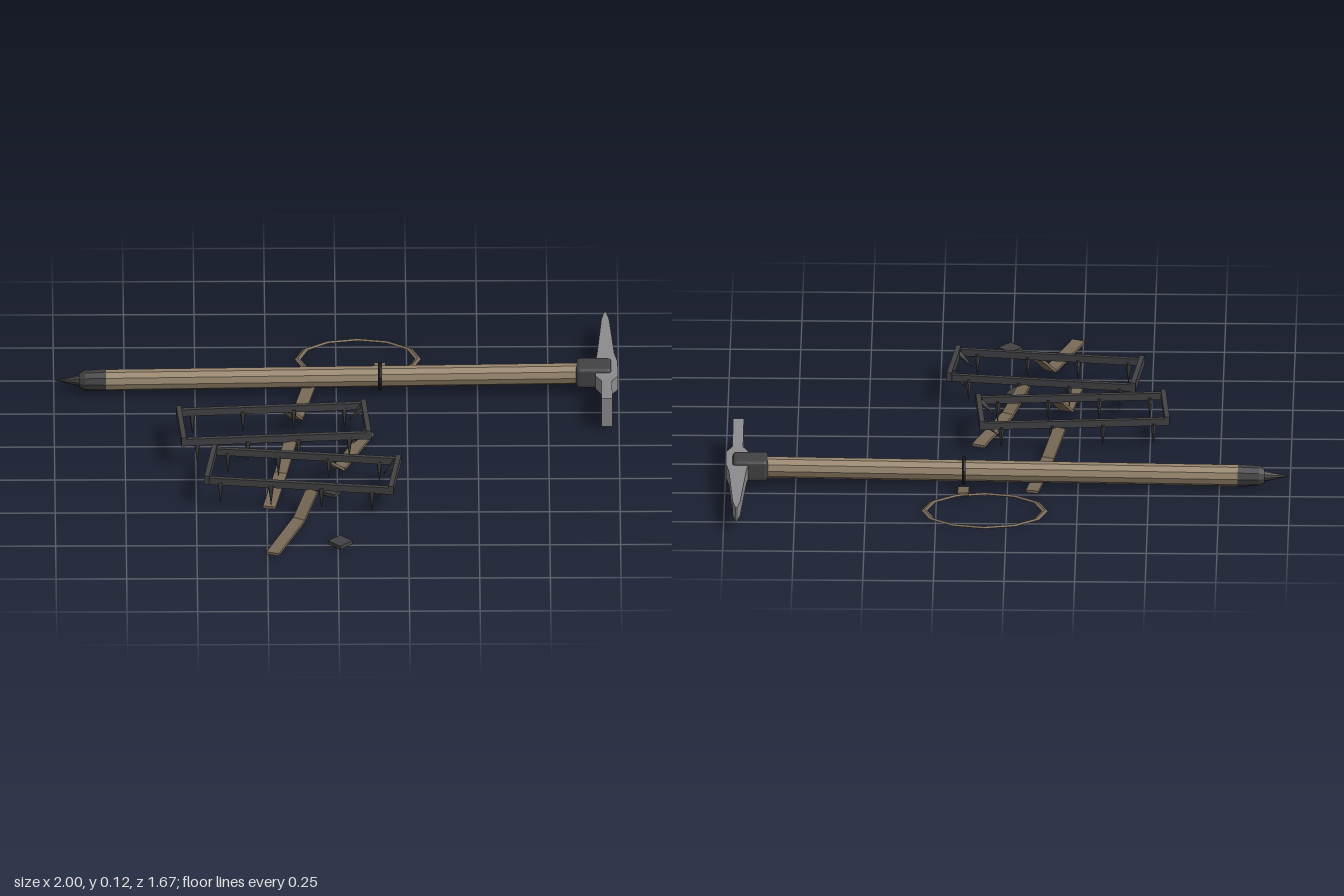
import * as THREE from 'three';
import { RoundedBoxGeometry } from 'three/addons/geometries/RoundedBoxGeometry.js';

const material = (color) => new THREE.MeshStandardMaterial({ color, flatShading: true, side: THREE.DoubleSide });
const WOOD = material(0x98866d);
const IRON = material(0x434345);
const STEEL = material(0x8c8c8e);
const LEATHER = material(0x7a6b58);
const BLACK = material(0x222222);

function add(parent, name, geometry, mat, x = 0, y = 0, z = 0) {
  const mesh = new THREE.Mesh(geometry, mat);
  mesh.name = name;
  mesh.position.set(x, y, z);
  parent.add(mesh);
  return mesh;
}

// Flat bar or ribbon laid from point a to point b
function addStrip(parent, name, a, b, width, thick, mat) {
  const p = new THREE.Vector3(...a), q = new THREE.Vector3(...b);
  const mid = p.clone().add(q).multiplyScalar(0.5);
  const mesh = add(parent, name, new THREE.BoxGeometry(width, thick, p.distanceTo(q)), mat, mid.x, mid.y, mid.z);
  mesh.lookAt(q);
  return mesh;
}

// Round part turned along x from [x, radius] pairs
function turned(points) {
  const profile = points.map(([x, r]) => new THREE.Vector2(r, -x)).reverse();
  profile.reverse();
  return new THREE.LatheGeometry(profile, 10).rotateZ(Math.PI / 2);
}

// Pick and adze: a box reshaped by stations [z, xLeft, xRight, yLow, yHigh]
function headGeometry() {
  const stations = [
    [-0.835, 0.951, 0.957, 0.045, 0.098],
    [-0.78, 0.941, 0.968, 0.045, 0.098],
    [-0.52, 0.924, 0.985, 0.045, 0.098],
    [-0.46, 0.918, 0.996, 0.045, 0.098],
    [-0.35, 0.918, 0.998, 0.045, 0.098],
    [-0.31, 0.938, 0.976, 0.044, 0.1],
    [-0.125, 0.938, 0.976, 0.014, 0.126],
  ];
  const geometry = new THREE.BoxGeometry(1, 1, 1, 1, 1, stations.length - 1);
  const pos = geometry.attributes.position;
  for (let i = 0; i < pos.count; i++) {
    const s = stations[Math.round((pos.getZ(i) + 0.5) * (stations.length - 1))];
    pos.setXYZ(i, pos.getX(i) < 0 ? s[1] : s[2], pos.getY(i) < 0 ? s[3] : s[4], s[0]);
  }
  geometry.computeVertexNormals();
  return geometry;
}

function createAxe() {
  const axe = new THREE.Group();
  axe.name = 'iceAxe';

  // Tilted shaft with ferrule and spike
  const pole = new THREE.Group();
  pole.name = 'pole';
  pole.position.set(0, 0.06, -0.42);
  pole.rotation.z = 0.0125;
  axe.add(pole);
  add(pole, 'shaft', turned([[-0.82, 0], [-0.82, 0.038], [0.88, 0.038], [0.88, 0]]), WOOD);
  add(pole, 'ferrule', turned([[-0.91, 0], [-0.91, 0.026], [-0.89, 0.036], [-0.815, 0.04], [-0.815, 0]]), IRON);
  add(pole, 'spike', turned([[-1, 0], [-0.9, 0.022], [-0.9, 0]]), IRON);

  // Head
  add(axe, 'headSocket', new RoundedBoxGeometry(0.125, 0.078, 0.098, 2, 0.014), IRON, 0.911, 0.073, -0.42);
  add(axe, 'pickAndAdze', headGeometry(), STEEL);

  // Wrist loop and its slide ring
  const slide = add(axe, 'slideRing', new THREE.TorusGeometry(0.044, 0.0075, 6, 16), BLACK, 0.155, 0.062, -0.42);
  slide.rotation.y = Math.PI / 2;
  addStrip(axe, 'loopTab', [0.155, 0.036, -0.567], [0.155, 0.01, -0.45], 0.04, 0.008, LEATHER);
  const loop = new THREE.TorusGeometry(0.213, 0.011, 4, 12).rotateX(Math.PI / 2).scale(1, 0.45, 0.69);
  add(axe, 'wristLoop', loop, LEATHER, 0.078, 0.009, -0.65);
  return axe;
}

// Spiked frame with its long axis on x
function createCrampon(x, z, angle) {
  const crampon = new THREE.Group();
  crampon.name = 'crampon';
  crampon.position.set(x, 0, z);
  crampon.rotation.y = angle;
  const halfL = 0.328, halfW = 0.112;
  const spike = new THREE.ConeGeometry(0.012, 0.085, 5).rotateX(Math.PI);
  const frontSpike = new THREE.ConeGeometry(0.014, 0.075, 5).rotateX(Math.PI);

  for (const side of [-1, 1]) {
    add(crampon, 'sideRail', new THREE.BoxGeometry(2 * halfL, 0.026, 0.016), IRON, 0, 0.103, side * halfW);
    add(crampon, 'endBar', new THREE.BoxGeometry(0.018, 0.034, 2 * halfW + 0.02), IRON, side * halfL, 0.107, 0);
    for (let i = 0; i < 4; i++) {
      add(crampon, 'spike', spike, IRON, -0.28 + i * 0.18, 0.056, side * halfW);
    }
    // Toe spike slanting down and back
    const toe = add(crampon, 'toeSpike', frontSpike, IRON, halfL - 0.03, 0.083, side * (halfW - 0.025));
    toe.rotation.z = -0.75;
  }
  return crampon;
}

// Strap falling from a frame to the ground, then lying flat
function createStrap(top, bend, end) {
  const strap = new THREE.Group();
  strap.name = 'strap';
  const fold = [bend[0], 0.012, bend[1]];
  addStrip(strap, 'hangingPart', [top[0], 0.09, top[1]], fold, 0.046, 0.01, LEATHER);
  addStrip(strap, 'lyingPart', fold, [end[0], 0.01, end[1]], 0.046, 0.01, LEATHER);
  return strap;
}

export function createModel() {
  const model = new THREE.Group();
  model.name = 'climbingGear';
  model.add(createAxe());

  model.add(createCrampon(-0.224, 0.014, 0.073));
  model.add(createCrampon(-0.123, 0.37, -0.123));

  model.add(createStrap([-0.18, -0.11], [-0.14, -0.2], [-0.088, -0.485]));
  model.add(createStrap([-0.165, 0.125], [-0.2, 0.222], [-0.242, 0.475]));
  model.add(createStrap([-0.05, 0.262], [0.008, 0.18], [0.11, -0.09]));
  model.add(createStrap([-0.09, 0.495], [-0.137, 0.57], [-0.232, 0.825]));

  // Loose buckles
  for (const [x, z, angle] of [[-0.022, 0.357, -0.54], [0.008, 0.746, Math.PI / 4]]) {
    add(model, 'buckle', new THREE.BoxGeometry(0.061, 0.014, 0.061), IRON, x, 0.014, z).rotation.y = angle;
  }
  return model;
}
